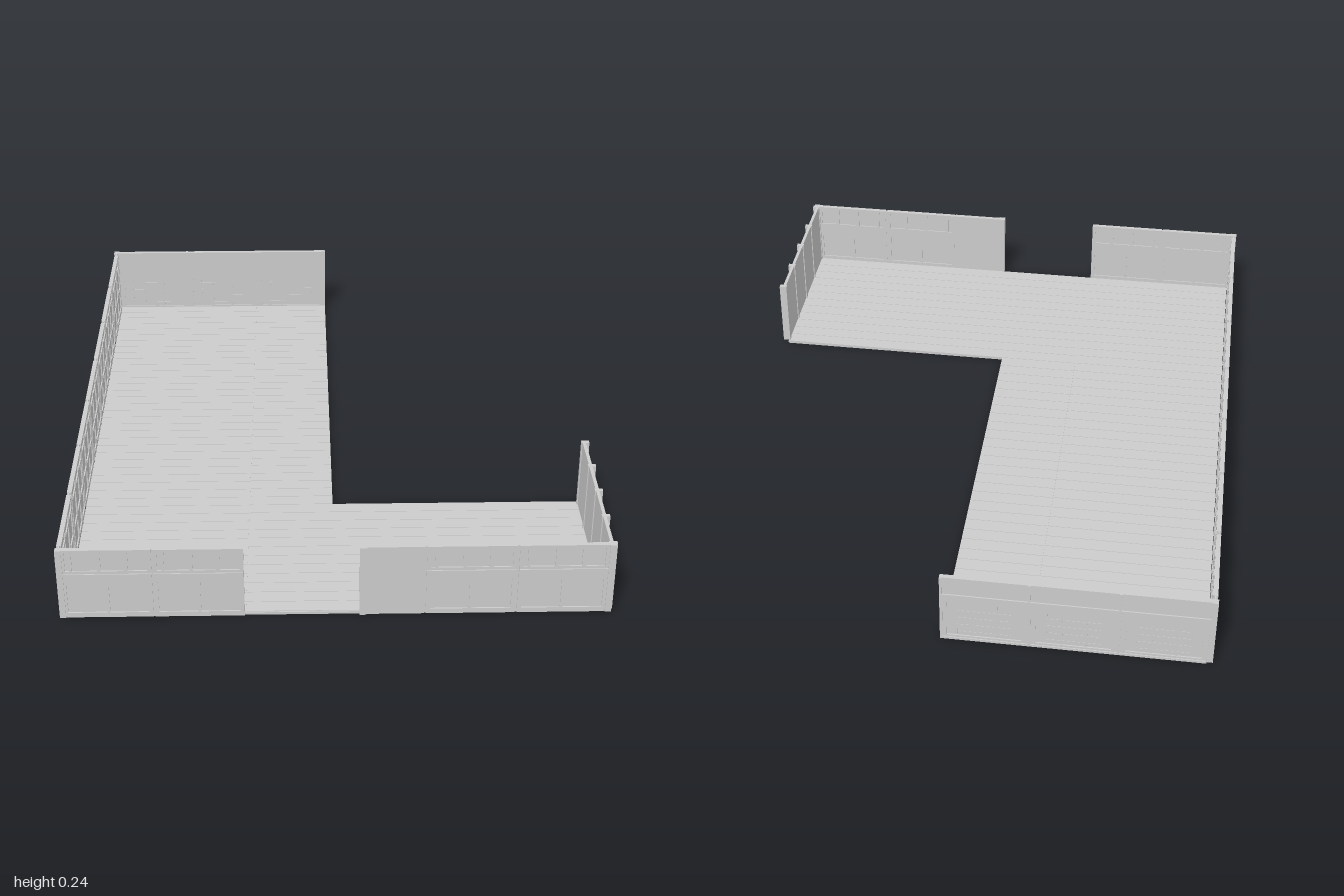
import * as THREE from 'three';

const mat = new THREE.MeshStandardMaterial({ color: 0xcccccc, flatShading: true });
const BASE = 0.006, TOP = 0.236, T = 0.014;

function box(parent, name, x0, x1, y0, y1, z0, z1) {
  const m = new THREE.Mesh(new THREE.BoxGeometry(x1 - x0, y1 - y0, z1 - z0), mat);
  m.position.set((x0 + x1) / 2, (y0 + y1) / 2, (z0 + z1) / 2);
  m.name = name;
  parent.add(m);
  return m;
}

// Wall panel in local space: x along the wall, +z outward; holes are [x0, x1, y0, y1]
function panel(name, w, holes) {
  const g = new THREE.Group();
  g.name = name;
  const rect = (P, x0, x1, y0, y1) => {
    const p = new P();
    p.moveTo(x0, y0); p.lineTo(x1, y0); p.lineTo(x1, y1); p.lineTo(x0, y1); p.closePath();
    return p;
  };
  const s = rect(THREE.Shape, -w / 2, w / 2, BASE, TOP);
  holes.forEach(h => s.holes.push(rect(THREE.Path, ...h)));
  const frame = new THREE.Mesh(new THREE.ExtrudeGeometry(s, { depth: T, bevelEnabled: false }), mat);
  frame.name = 'panelFrame';
  g.add(frame);
  // Recessed infill behind every opening
  holes.forEach(([x0, x1, y0, y1]) => box(g, 'recessedInfill', x0, x1, y0, y1, 0.004, T - 0.004));
  return g;
}

// Shopfront bay: high window strip above two broad lower panels
function shopBay(w) {
  const e = w / 2 - 0.012;
  const g = panel('shopBay', w, [
    [-e, -e + 0.012, 0.165, 0.227], [-e + 0.02, -0.025, 0.165, 0.227],
    [-0.015, 0.05, 0.165, 0.227], [0.062, e, 0.165, 0.227],
    [-e, -0.004, 0.022, 0.125], [0.004, e, 0.022, 0.125]]);
  box(g, 'windowSill', -w / 2, w / 2, 0.150, 0.156, T, T + 0.003);
  return g;
}

// Side bay: square centre window between wide ones, with low panels below
function sideBay(w) {
  const e = w / 2 - 0.012;
  return panel('sideBay', w, [
    [-e, -0.046, 0.105, 0.19], [-0.037, 0.037, 0.105, 0.19], [0.046, e, 0.105, 0.19],
    [-e, -0.046, 0.022, 0.09], [-0.037, 0.037, 0.022, 0.09], [0.046, e, 0.022, 0.09],
    [-e, -0.046, 0.2, 0.227], [-0.037, 0.037, 0.2, 0.227], [0.046, e, 0.2, 0.227]]);
}

// Loading bay: wide door with mullions and a lintel band
function loadingBay(w) {
  const g = panel('loadingBay', w, [[-0.11, 0.11, 0.015, 0.142]]);
  box(g, 'doorSideLeaf', -0.11, -0.078, 0.02, 0.142, 0.002, T - 0.002);
  box(g, 'doorSideLeaf', 0.078, 0.11, 0.02, 0.142, 0.002, T - 0.002);
  for (const x of [-0.036, 0.036]) box(g, 'doorMullion', x - 0.003, x + 0.003, 0.015, 0.142, 0.002, T - 0.002);
  for (let i = 1; i < 5; i++) box(g, 'doorSlat', -0.078, 0.078, i * 0.027, i * 0.027 + 0.003, 0.003, T - 0.003);
  box(g, 'lintelBand', -w / 2, w / 2, 0.168, 0.174, T, T + 0.004);
  return g;
}

function wall(root, name, x, z, angle) {
  const g = new THREE.Group();
  g.name = name;
  g.position.set(x, 0, z);
  g.rotation.y = angle;
  root.add(g);
  return g;
}

function place(parent, child, x) {
  child.position.x = x;
  parent.add(child);
}

export function createModel() {
  const root = new THREE.Group();
  root.name = 'lShapedBuilding';

  // L-shaped floor slab
  const s = new THREE.Shape();
  [[-0.775, -0.98], [0.775, -0.98], [0.775, -0.415], [0, -0.415], [0, 1], [-0.775, 1]]
    .forEach(([x, y], i) => (i ? s.lineTo(x, y) : s.moveTo(x, y)));
  const slab = new THREE.Mesh(new THREE.ExtrudeGeometry(s, { depth: 0.008, bevelEnabled: false }), mat);
  slab.rotation.x = -Math.PI / 2;
  slab.name = 'floorSlab';
  root.add(slab);

  // Floor boards in two strips, with fine seams
  const boards = (x0, x1, z0, z1, n) => {
    const d = (z1 - z0) / n;
    for (let i = 0; i < n; i++) box(root, 'floorBoard', x0, x1, 0.007, 0.010, z0 + i * d, z0 + (i + 1) * d - 0.002);
  };
  boards(-0.775, -0.261, -0.985, 0.978, 42);
  boards(-0.26, 0, -0.985, 0.415, 30);
  boards(-0.26, 0.772, 0.415, 0.978, 12);

  // Front wall, with an open gap between the two stretches
  const front = wall(root, 'frontWall', 0, 0.977, 0);
  for (const x of [-0.652, -0.392, 0.383, 0.645]) place(front, shopBay(0.256), x);
  place(front, panel('entrancePanel', 0.185, []), 0.158);
  box(front, 'entrancePost', 0.065, 0.085, BASE, TOP, 0, T + 0.004);
  for (const x of [-0.522, 0.253, 0.514]) box(front, 'joint', x - 0.004, x + 0.004, BASE, TOP, 0.001, T - 0.004);

  // Left wall of seven bays with narrow recessed joints
  const left = wall(root, 'leftWall', -0.776, 0, -Math.PI / 2);
  box(left, 'wallJoints', -0.985, 0.977, BASE, TOP, 0.005, 0.009);
  for (let i = 0; i < 7; i++) place(left, sideBay(0.264), -0.835 + 0.278 * i);

  // Back wall of three loading bays
  const back = wall(root, 'backWall', 0, -0.983, Math.PI);
  for (let i = 0; i < 3; i++) place(back, loadingBay(0.257), 0.13 + 0.26 * i);
  for (const x of [0.004, 0.26, 0.52]) box(back, 'pier', x - 0.004, x + 0.004, BASE, TOP, 0, T + 0.003);

  // Right end wall with ribs and a mid rail
  const right = wall(root, 'rightWall', 0.772, 0, Math.PI / 2);
  box(right, 'endPlate', -0.985, -0.42, 0.010, TOP, 0, 0.01);
  box(right, 'midRail', -0.985, -0.42, 0.130, 0.137, 0.01, 0.014);
  for (let i = 0; i < 5; i++) {
    const x = -0.978 + i * 0.138;
    box(right, 'rib', x - 0.007, x + 0.007, 0.010, TOP, -0.003, 0.021);
  }

  // Corner posts
  for (const [x, z] of [[-0.784, -0.991], [-0.784, 0.985], [0.780, 0.985]])
    box(root, 'cornerPost', x - 0.009, x + 0.009, BASE, TOP, z - 0.009, z + 0.009);
  return root;
}
